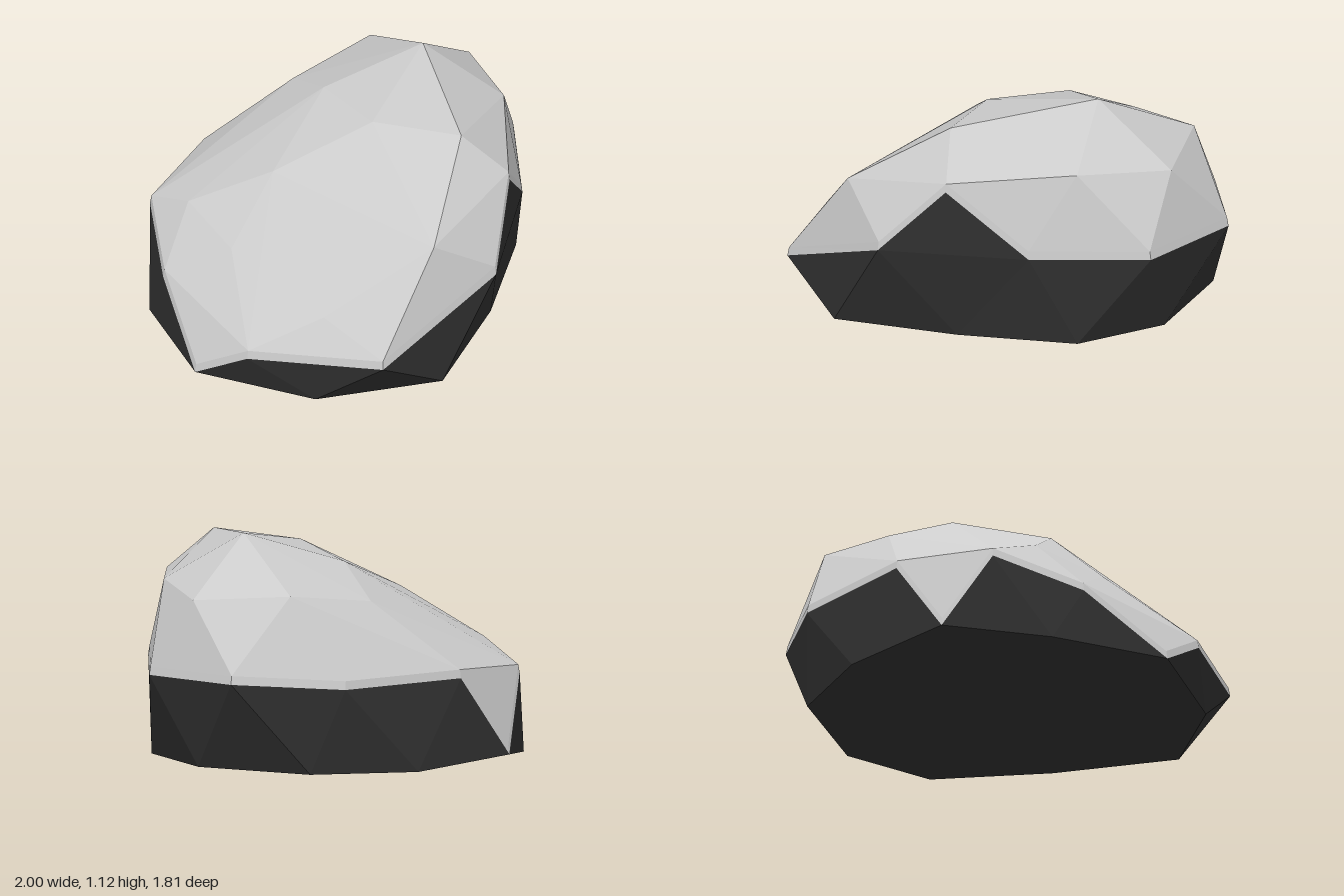
import * as THREE from 'three';
import { ConvexGeometry } from 'three/addons/geometries/ConvexGeometry.js';

const V = (x, y, z) => new THREE.Vector3(x, y, z);
const CENTRE = V(0, 0.4, 0);

// Flat-shaded mesh from triangles, each turned to face away from the centre.
function facetMesh(name, triangles, color) {
  const points = [];
  for (const [a, b, c] of triangles) {
    const normal = b.clone().sub(a).cross(c.clone().sub(a));
    const outward = normal.dot(a.clone().sub(CENTRE)) >= 0;
    points.push(a, outward ? b : c, outward ? c : b);
  }
  const geometry = new THREE.BufferGeometry().setFromPoints(points);
  geometry.computeVertexNormals();
  const mesh = new THREE.Mesh(geometry, new THREE.MeshStandardMaterial({
    color, flatShading: true, side: THREE.DoubleSide,
  }));
  mesh.name = name;
  return mesh;
}

export function createModel() {
  const group = new THREE.Group();
  group.name = 'cappedRock';

  // Ring where the dark base meets the pale cap, from the front round to the right.
  const seam = [
    V(-0.01, 0.49, 0.9), V(0.6, 0.5, 0.53), V(1, 0.49, 0.13), V(1, 0.5, -0.4), V(0.6, 0.47, -0.75),
    V(-0.03, 0.47, -0.88), V(-0.52, 0.43, -0.78), V(-0.8, 0.29, -0.455), V(-0.96, 0.19, 0.2), V(-0.68, 0.24, 0.79),
  ];
  // Foot ring: each point sits between two neighbouring seam points.
  const foot = [
    V(0.25, 0.06, 0.64), V(0.75, 0.07, 0.36), V(0.89, 0.07, -0.08), V(0.7, 0.07, -0.62), V(0.24, 0.06, -0.87),
    V(-0.32, 0.085, -0.91), V(-0.73, 0.02, -0.6), V(-1, 0.02, -0.085), V(-0.79, 0, 0.47), V(-0.33, 0.04, 0.85),
  ];
  const peak = V(0.27, 0.81, 0.74);
  const n = seam.length;
  const spikes = [5, 7]; // places where the cap runs down to the foot

  // Base: zigzag band, underside and the dark peak at the front.
  const base = [[seam[0], seam[1], peak]];
  const bottomMiddle = V(0, 0.04, 0);
  for (let i = 0; i < n; i++) {
    const j = (i + 1) % n;
    if (!spikes.includes(i)) base.push([seam[i], seam[j], foot[i]]);
    base.push([foot[i], foot[j], seam[j]], [foot[i], foot[j], bottomMiddle]);
  }
  group.add(facetMesh('darkBase', base, 0x303030));

  // Rim of the cap follows the seam, over the peak and down the spikes.
  const lowerRim = [];
  seam.forEach((p, i) => {
    lowerRim.push(p);
    if (i === 0) lowerRim.push(peak);
    if (spikes.includes(i)) lowerRim.push(foot[i]);
  });
  const rim = lowerRim.map((p) => V(p.x * 0.993, p.y + 0.04, p.z * 0.993));

  // Upper corners of the cap.
  const crown = [
    V(0.53, 1.12, -0.02), V(0.93, 0.855, -0.085), V(0.71, 0.89, 0.32), V(0.135, 1.04, 0.56),
    V(-0.015, 1.015, 0.145), V(-0.31, 0.73, 0.78), V(-0.37, 0.79, -0.155), V(-0.4, 0.64, 0.34),
    V(-0.67, 0.51, -0.15), V(-0.72, 0.41, 0.46), V(-0.56, 0.57, -0.51), V(0.255, 0.83, -0.575),
    V(0.7, 0.89, -0.49), V(0.12, 0.97, -0.27),
  ];

  // Cap: hull faces that touch the crown, plus the spikes and the lip below the rim.
  const cap = [];
  const hull = new ConvexGeometry([...crown, ...rim]).getAttribute('position');
  for (let i = 0; i < hull.count; i += 3) {
    const face = [0, 1, 2].map((k) => new THREE.Vector3().fromBufferAttribute(hull, i + k));
    if (face.some((p) => crown.some((c) => c.distanceTo(p) < 1e-4))) cap.push(face);
  }
  for (const s of spikes) {
    const k = lowerRim.indexOf(foot[s]);
    cap.push([rim[k - 1], rim[k], rim[k + 1]]);
  }
  rim.forEach((p, i) => {
    const j = (i + 1) % rim.length;
    cap.push([lowerRim[i], lowerRim[j], p], [lowerRim[j], rim[j], p]);
  });
  group.add(facetMesh('paleCap', cap, 0xcccccc));

  return group;
}
